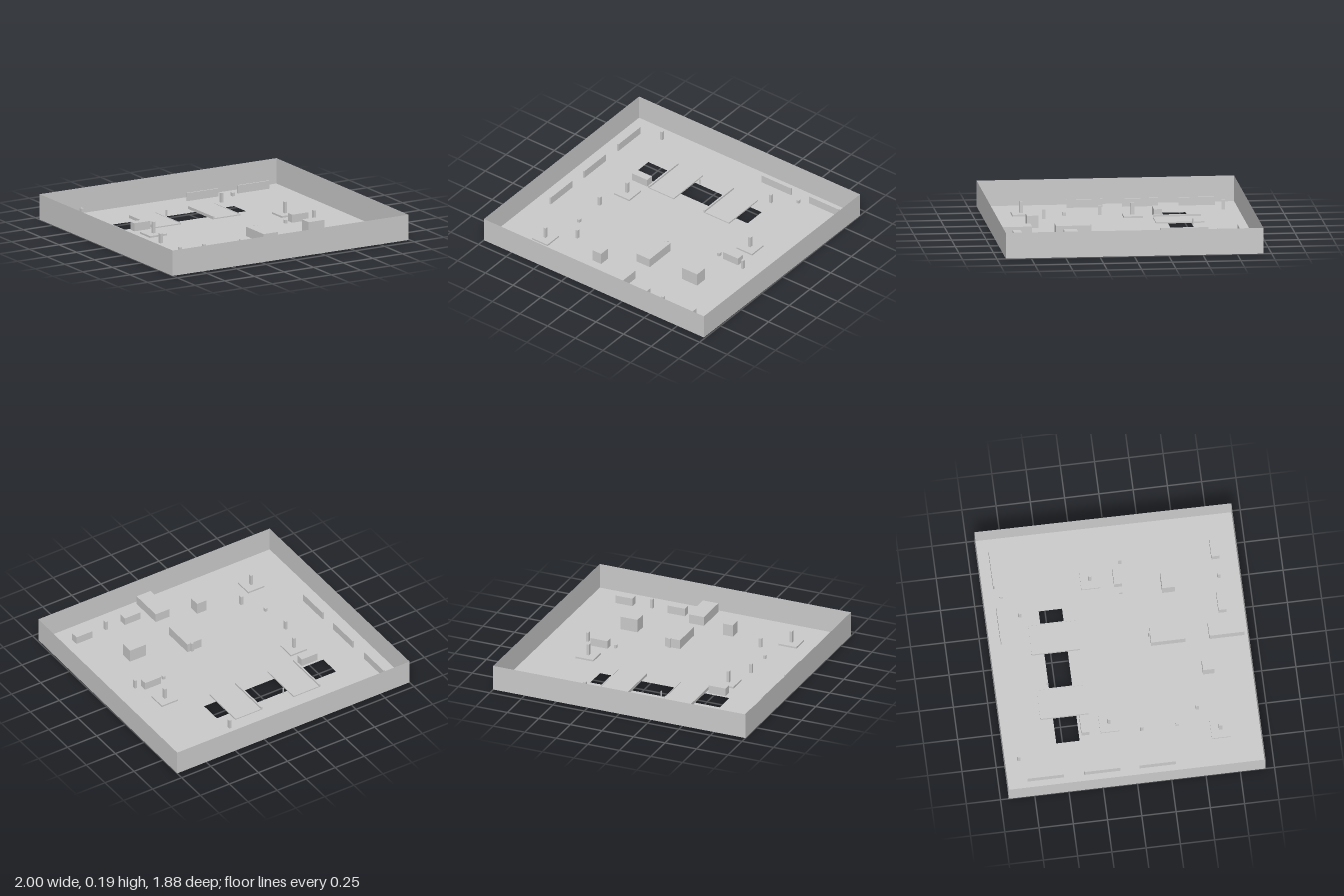
import * as THREE from 'three';

const material = new THREE.MeshStandardMaterial({ color: 0xcccccc, flatShading: true, side: THREE.DoubleSide });

export function createModel() {
  const model = new THREE.Group();
  const H = 0.19; // wall height

  function add(geometry, name, parent = model) {
    const mesh = new THREE.Mesh(geometry, material);
    mesh.name = name;
    parent.add(mesh);
    return mesh;
  }

  // Box given by its extents in x and z, its height and the level it stands on
  function block(name, x0, x1, z0, z1, height, base = 0, parent = model) {
    const mesh = add(new THREE.BoxGeometry(x1 - x0, height, z1 - z0), name, parent);
    mesh.position.set((x0 + x1) / 2, base + height / 2, (z0 + z1) / 2);
    return mesh;
  }

  // Floor sheet with one long pit opening
  const corners = [[-1, -0.94], [1, -0.94], [0.99, 0.935], [-1, 0.935]];
  const outline = new THREE.Shape(corners.map(([x, z]) => new THREE.Vector2(x, -z)));
  const pit = [[-0.62, -0.545], [-0.62, -0.375], [0.405, -0.375], [0.405, -0.545]];
  outline.holes.push(new THREE.Path(pit.map(([x, z]) => new THREE.Vector2(x, -z))));
  add(new THREE.ShapeGeometry(outline).rotateX(-Math.PI / 2), 'floor');

  // Thin outer walls, one between each pair of corners
  ['backWall', 'leftWall', 'frontWall', 'rightWall'].forEach((name, i) => {
    const [x0, z0] = corners[i];
    const [x1, z1] = corners[(i + 1) % 4];
    const wall = add(new THREE.PlaneGeometry(Math.hypot(x1 - x0, z1 - z0), H), name);
    wall.position.set((x0 + x1) / 2, H / 2, (z0 + z1) / 2);
    wall.rotation.y = -Math.atan2(z1 - z0, x1 - x0);
  });

  // Bridges across the pit: slab, tall rail on one side, low lip on the other
  for (const x of [-0.42, 0.08]) {
    const bridge = new THREE.Group();
    bridge.name = 'bridge';
    model.add(bridge);
    block('bridgeSlab', x, x + 0.222, -0.637, -0.287, 0.008, 0.003, bridge);
    block('bridgeRail', x - 0.008, x + 0.004, -0.637, -0.287, 0.022, 0.003, bridge);
    block('bridgeLip', x + 0.217, x + 0.224, -0.637, -0.287, 0.011, 0.003, bridge);
  }

  // Large blocks: x0, x1, z0, z1, height
  [
    [0.04, 0.16, 0.23, 0.48, 0.07],
    [0.04, 0.16, 0.655, 0.91, 0.07],
    [0.435, 0.57, 0.36, 0.455, 0.1],
    [-0.225, -0.145, 0.575, 0.66, 0.09],
  ].forEach((b) => block('largeBlock', ...b));

  // Benches, all the same size
  for (const [x, z] of [[0.3, 0.775], [0.715, 0.775], [0.59, 0.05], [-0.515, -0.327]]) {
    block('bench', x - 0.068, x + 0.068, z - 0.029, z + 0.029, 0.06);
  }

  // Upright panels along the right and back walls
  for (const z of [-0.655, -0.242, 0.162]) block('sidePanel', -0.886, -0.874, z - 0.132, z + 0.132, 0.06);
  for (const x of [0.318, 0.748]) block('backPanel', x - 0.133, x + 0.133, -0.85, -0.839, 0.06);

  function post(name, x, z, height, parent) {
    block(name, x - 0.01, x + 0.01, z - 0.012, z + 0.012, height, 0, parent);
  }

  // Posts standing on square base plates
  for (const [x, z] of [[-0.513, -0.148], [0.598, -0.148], [-0.657, 0.648]]) {
    const stand = new THREE.Group();
    stand.name = 'stand';
    model.add(stand);
    block('standPlate', x - 0.07, x + 0.07, z - 0.07, z + 0.07, 0.013, 0, stand);
    post('standPost', x, z, 0.098, stand);
  }

  // Free-standing posts
  for (const [x, z] of [[-0.71, -0.83], [0.385, -0.685], [-0.59, 0.082], [-0.478, 0.502],
    [0.705, 0.083], [0.508, 0.783], [0.122, 0.23]]) {
    post('post', x, z, 0.071);
  }

  // Short stubs
  for (const [x, z] of [[0.547, -0.8], [-0.583, 0.34], [0.475, 0.062]]) post('stub', x, z, 0.026);

  // Thin pin at the edge of the pit
  block('pin', -0.164, -0.156, -0.558, -0.549, 0.045);

  return model;
}
